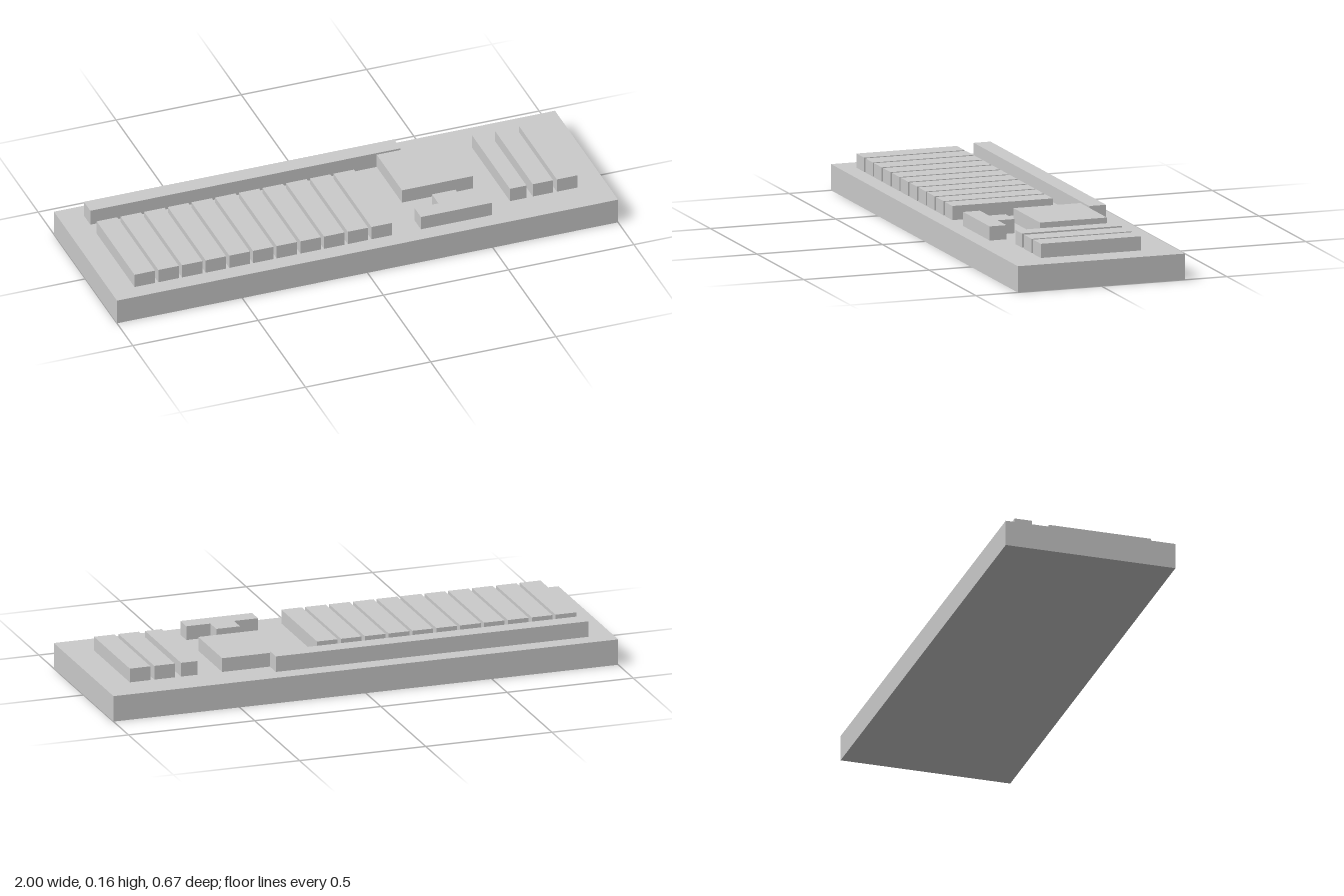
import * as THREE from 'three';

const material = new THREE.MeshStandardMaterial({ color: 0xcccccc, flatShading: true });
const DECK = 0.1; // top of the base slab
const KEY_TOP = 0.154;

// Box given by its x, y and z extents
function block(name, [x0, x1], [y0, y1], [z0, z1]) {
  const mesh = new THREE.Mesh(new THREE.BoxGeometry(x1 - x0, y1 - y0, z1 - z0), material);
  mesh.position.set((x0 + x1) / 2, (y0 + y1) / 2, (z0 + z1) / 2);
  mesh.name = name;
  return mesh;
}

export function createModel() {
  const model = new THREE.Group();
  model.name = 'keyboard';
  const keyHeight = [DECK, KEY_TOP];

  // Base slab
  model.add(block('base', [-1, 1], [0, DECK], [-0.333, 0.333]));

  // Main field: long key columns separated by narrow slots
  const mainKeys = new THREE.Group();
  mainKeys.name = 'mainKeys';
  const pitch = 0.0945;
  for (let i = 0; i < 11; i++) {
    const start = i === 0 ? -0.905 : -0.81 + pitch * (i - 1);
    mainKeys.add(block('keyColumn', [start, -0.823 + pitch * i], keyHeight, [-0.133, 0.267]));
  }
  model.add(mainKeys);

  // Long key row along the back edge
  model.add(block('backRow', [-0.905, 0.333], [DECK, 0.161], [-0.267, -0.2]));

  // Navigation block and the arrow cluster in front of it
  model.add(block('navigationBlock', [0.238, 0.522], keyHeight, [-0.2, 0.067]));
  const arrowKeys = new THREE.Group();
  arrowKeys.name = 'arrowKeys';
  arrowKeys.add(
    block('arrowRow', [0.238, 0.522], keyHeight, [0.2, 0.267]),
    block('upArrow', [0.333, 0.427], keyHeight, [0.133, 0.2]),
  );
  model.add(arrowKeys);

  // Number pad columns
  const numberPad = new THREE.Group();
  numberPad.name = 'numberPad';
  for (const span of [[0.619, 0.685], [0.71, 0.791], [0.806, 0.888]]) {
    numberPad.add(block('numberColumn', span, keyHeight, [-0.2, 0.2]));
  }
  model.add(numberPad);

  return model;
}
